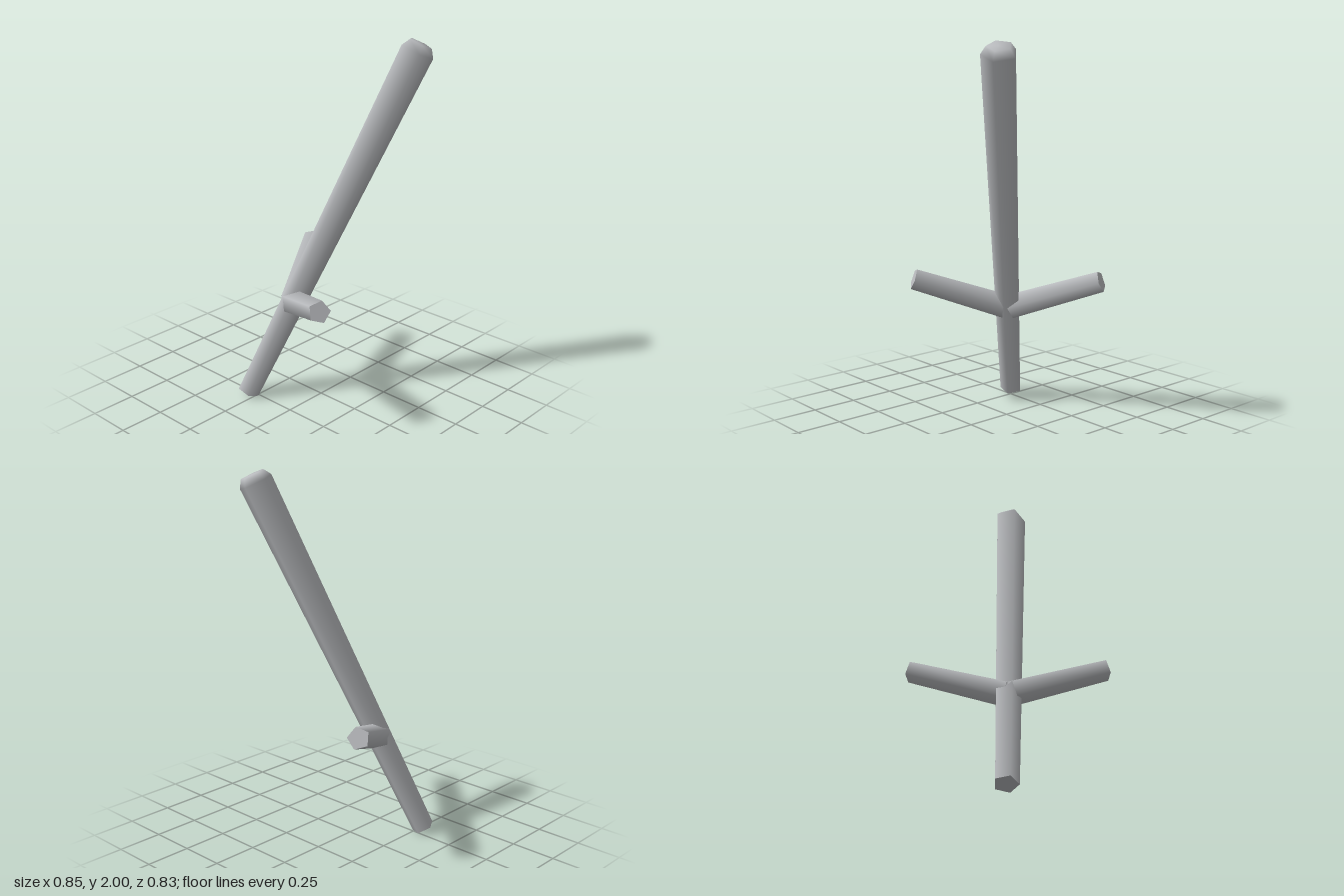
import * as THREE from 'three';

const SIDES = 5;
const V = (x, y, z) => new THREE.Vector3(x, y, z);

// Place an object so its y axis runs from 'from' towards 'to', with one corner facing 'corner'
function align(object, from, to, corner) {
  const y = to.clone().sub(from).normalize();
  const z = corner.clone().addScaledVector(y, -corner.dot(y)).normalize();
  const x = new THREE.Vector3().crossVectors(y, z);
  object.quaternion.setFromRotationMatrix(new THREE.Matrix4().makeBasis(x, y, z));
  object.position.copy(from);
}

export function createModel() {
  const model = new THREE.Group();
  model.name = 'branchedStick';
  const grey = new THREE.MeshStandardMaterial({ color: 0xb8babd });
  grey.name = 'grey';

  // Leaning tapered shaft with a rounded tip and a flat foot
  const foot = V(-0.288, 0.025, -0.288);
  const shoulder = V(0.337, 1.937, 0.337);
  const length = foot.distanceTo(shoulder);
  const rFoot = 0.0625, rTop = 0.093;
  const stick = new THREE.Group();
  stick.name = 'shaft';
  const profile = [[rFoot, 0], [rTop, length], [0.065, length + 0.042], [0, length + 0.044]];
  const body = new THREE.Mesh(
    new THREE.LatheGeometry(profile.map(([r, y]) => new THREE.Vector2(r, y)), SIDES), grey);
  body.name = 'shaftBody';
  const cap = new THREE.Mesh(
    new THREE.CircleGeometry(rFoot, SIDES, Math.PI / 2).rotateX(Math.PI / 2), grey);
  cap.name = 'shaftFoot';
  stick.add(body, cap);
  align(stick, foot, shoulder, V(0.442, -0.403, 0.844));
  model.add(stick);

  // Two side arms, mirrored across the shaft's leaning plane
  const joint = foot.clone().lerp(shoulder, 0.283);
  const swap = (v) => V(v.z, v.y, v.x);
  const end = V(-0.375, 0.744, 0.338);
  const corner = V(0.86, 0, 0.51);
  for (const [name, tip, dir] of [['rightArm', end, corner], ['leftArm', swap(end), swap(corner)]]) {
    const h = joint.distanceTo(tip);
    const arm = new THREE.Mesh(
      new THREE.CylinderGeometry(0.059, 0.07, h, SIDES).translate(0, h / 2, 0), grey);
    arm.name = name;
    align(arm, joint, tip, dir);
    model.add(arm);
  }
  return model;
}
